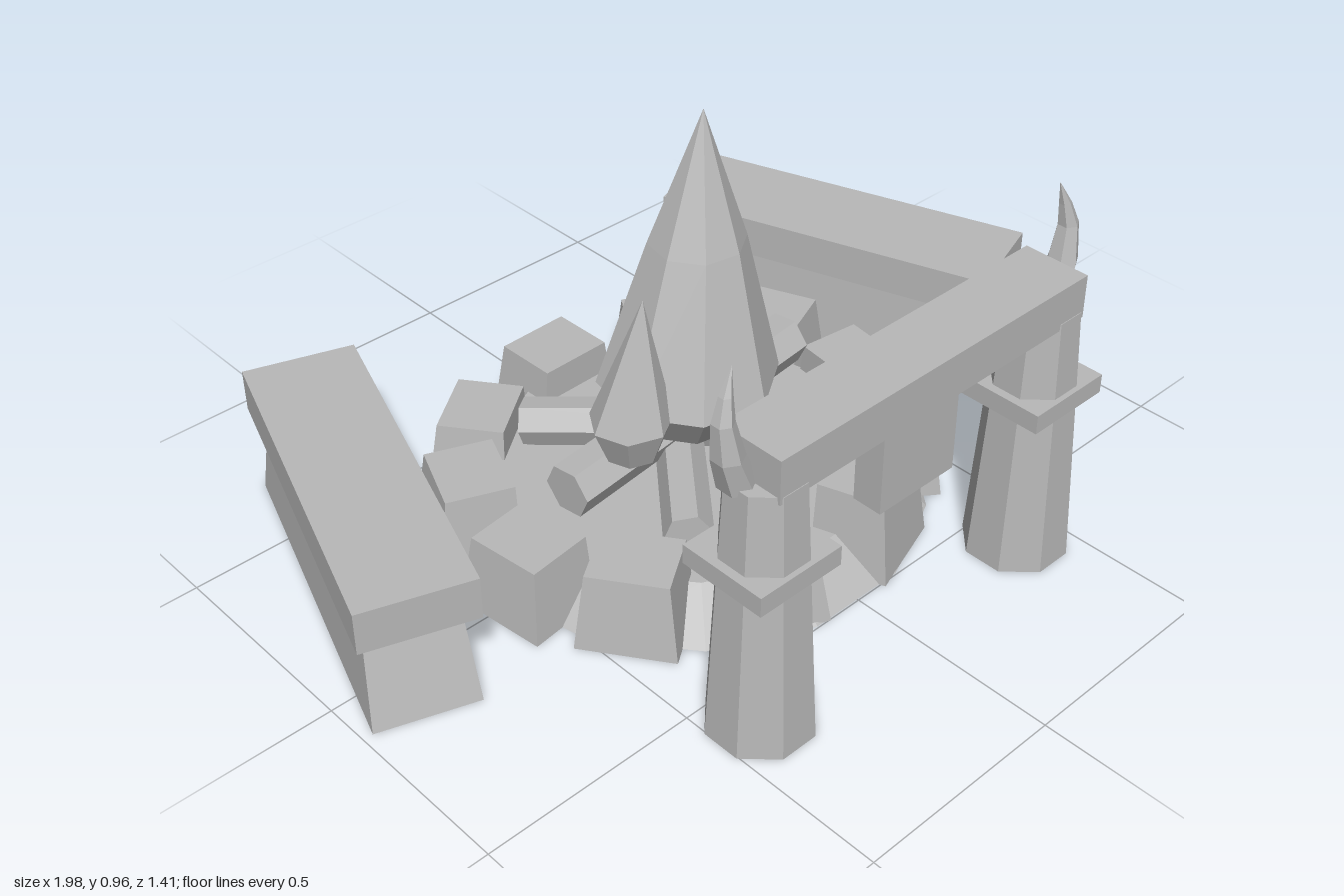
import * as THREE from 'three';

const stone = new THREE.MeshStandardMaterial({ color: 0xb8b8b8, flatShading: true, side: THREE.DoubleSide });
stone.name = 'plain grey';

// Skin over horizontal rings [x, y, z, rx, rz], closed on top and open below unless asked
function loft(rings, sides, turn = Math.PI / sides, closeBottom = false) {
  const pos = [];
  const point = ([x, y, z, rx, rz = rx], i) => {
    const a = turn + (i / sides) * Math.PI * 2;
    return [x + rx * Math.sin(a), y, z + rz * Math.cos(a)];
  };
  const first = rings[0], last = rings[rings.length - 1];
  for (let i = 0; i < sides; i++) {
    for (let k = 0; k < rings.length - 1; k++) {
      const a = point(rings[k], i), b = point(rings[k], i + 1);
      const c = point(rings[k + 1], i + 1), d = point(rings[k + 1], i);
      pos.push(...a, ...b, ...c);
      if (rings[k + 1][3] > 0) pos.push(...a, ...c, ...d);
    }
    if (last[3] > 0) pos.push(...last.slice(0, 3), ...point(last, i), ...point(last, i + 1));
    if (closeBottom) pos.push(...first.slice(0, 3), ...point(first, i + 1), ...point(first, i));
  }
  const g = new THREE.BufferGeometry();
  g.setAttribute('position', new THREE.Float32BufferAttribute(pos, 3));
  g.computeVertexNormals();
  return g;
}

function add(parent, name, geometry, x = 0, y = 0, z = 0) {
  const m = new THREE.Mesh(geometry, stone);
  m.name = name;
  m.position.set(x, y, z);
  parent.add(m);
  return m;
}

// Rectangular ring for the loft, given full width and depth
const rect = (y, w, d, z = 0) => [0, y, z, w * Math.SQRT1_2, d * Math.SQRT1_2];

function bench(side) {
  const g = new THREE.Group();
  g.name = side > 0 ? 'leftBench' : 'rightBench';
  add(g, 'benchBase', loft([rect(0, 0.23, 0.85), rect(0.22, 0.2, 0.72)], 4));
  add(g, 'benchSeat', new THREE.BoxGeometry(0.253, 0.1, 0.857), 0, 0.27, 0);
  g.position.set(side * 0.73, 0, -0.255);
  g.rotation.y = side * 0.333;
  return g;
}

function gate() {
  const g = new THREE.Group();
  g.name = 'gate';
  const k = 1 / Math.cos(Math.PI / 8);
  for (const s of [1, -1]) {
    add(g, 'pillar', loft([[0, 0, 0, 0.109 * k], [0, 0.625, 0, 0.077 * k]], 8), s * 0.395, 0, 0.6);
    add(g, 'pillarCollar', new THREE.BoxGeometry(0.212, 0.045, 0.206), s * 0.395, 0.423, 0.595);
    // Curved horn at the beam end
    add(g, 'horn', loft([
      [s * 0.445, 0.61, 0.58, 0.042], [s * 0.475, 0.69, 0.583, 0.034],
      [s * 0.485, 0.77, 0.58, 0.023], [s * 0.474, 0.82, 0.575, 0.014], [s * 0.455, 0.873, 0.57, 0],
    ], 6, 0));
  }
  add(g, 'crossBeam', new THREE.BoxGeometry(0.87, 0.1, 0.155), 0, 0.66, 0.598);
  add(g, 'hangingBoard', new THREE.BoxGeometry(0.215, 0.23, 0.07), -0.003, 0.495, 0.6);
  return g;
}

function firePit() {
  const g = new THREE.Group();
  g.name = 'firePit';
  add(g, 'ashBed', loft([[0, 0, -0.04, 0.55], [0, 0.09, -0.04, 0.44]], 14));

  // Ring of stones: x, z, height
  const stones = [
    [-0.01, -0.48, 0.17], [0.27, -0.41, 0.16], [0.46, -0.23, 0.18], [0.49, 0.02, 0.16],
    [0.38, 0.24, 0.18], [0.145, 0.38, 0.2], [-0.155, 0.37, 0.145], [-0.39, 0.23, 0.18],
    [-0.5, 0.02, 0.17], [-0.46, -0.23, 0.18], [-0.28, -0.42, 0.16],
  ];
  for (const [x, z, h] of stones) {
    const m = add(g, 'ringStone', loft([rect(0, 0.22, 0.18, 0.01), rect(h, 0.18, 0.155)], 4), x, 0, z);
    m.rotation.y = Math.atan2(x, z + 0.04);
  }

  // Crossed logs
  const up = new THREE.Vector3(0, 1, 0);
  const logs = [
    [[-0.22, 0.13, -0.34], [0.24, 0.21, 0.25], 0.055],
    [[0.22, 0.15, -0.33], [-0.24, 0.15, 0.23], 0.055],
    [[-0.36, 0.19, -0.02], [0.36, 0.22, -0.075], 0.062],
  ];
  for (const [a, b, r] of logs) {
    const p = new THREE.Vector3(...a), q = new THREE.Vector3(...b);
    const d = q.clone().sub(p);
    const m = add(g, 'log', new THREE.CylinderGeometry(r, r, d.length(), 6));
    m.position.copy(p).add(q).multiplyScalar(0.5);
    m.quaternion.setFromUnitVectors(up, d.normalize());
  }

  // Faceted flames with pinched bases
  add(g, 'mainFlame', loft([
    [-0.01, 0.23, -0.02, 0.13], [-0.01, 0.33, -0.018, 0.203],
    [0.02, 0.66, -0.02, 0.108], [0.04, 0.96, -0.022, 0],
  ], 8, 0.2, true));
  add(g, 'leftFlame', loft([
    [0.15, 0.25, -0.1, 0.07], [0.155, 0.335, -0.105, 0.103], [0.13, 0.75, -0.1, 0],
  ], 7, 0.3, true));
  add(g, 'rightFlame', loft([
    [-0.21, 0.24, 0.02, 0.06], [-0.215, 0.33, 0.025, 0.092], [-0.18, 0.62, 0.03, 0],
  ], 7, 0.1, true));
  return g;
}

export function createModel() {
  const model = new THREE.Group();
  model.name = 'campfireShrine';
  model.add(bench(1), bench(-1), gate(), firePit());
  return model;
}
